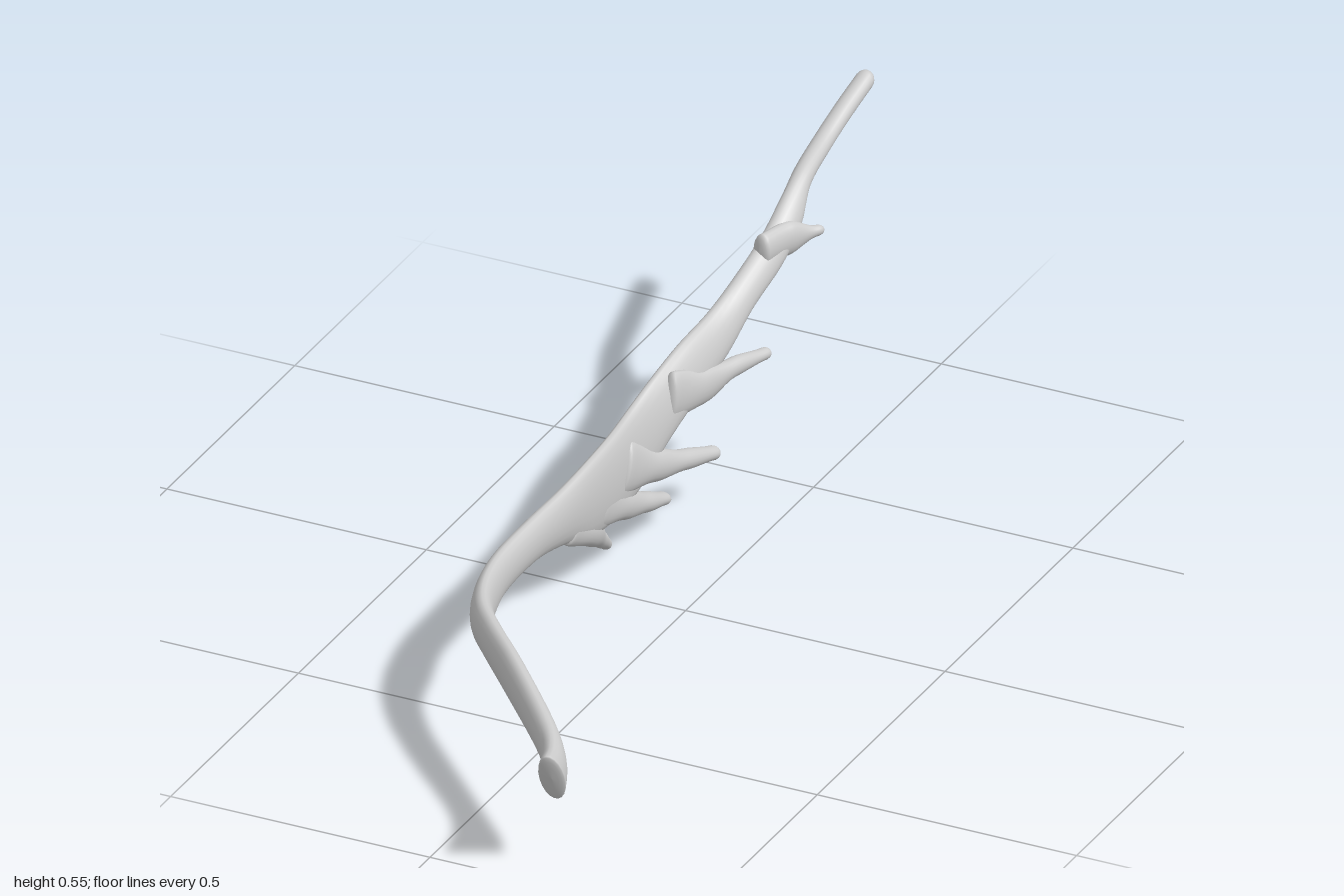
import * as THREE from 'three';

const { lerp, smoothstep } = THREE.MathUtils;
const material = new THREE.MeshStandardMaterial({ color: 0xcccccc });
const RING = 20;

// Skin a row of oval sections { c: centre, up, side }, closing both ends with domes
function loft(name, sections, domeStart, domeEnd) {
  const last = sections.length - 1;
  const dome = (i, j, depth) => {
    const s = sections[i];
    const out = s.c.clone().sub(sections[j].c).normalize();
    return [0.35, 0.65, 0.88, 1].map((k) => {
      const scale = Math.sqrt(1 - k * k);
      return {
        c: s.c.clone().addScaledVector(out, depth * k),
        up: s.up.clone().multiplyScalar(scale),
        side: s.side.clone().multiplyScalar(scale),
      };
    });
  };
  const all = [...dome(0, 1, domeStart).reverse(), ...sections, ...dome(last, last - 1, domeEnd)];
  const position = [];
  const index = [];
  all.forEach((s, i) => {
    for (let j = 0; j < RING; j++) {
      const a = (j / RING) * Math.PI * 2;
      const p = s.c.clone().addScaledVector(s.up, Math.cos(a)).addScaledVector(s.side, Math.sin(a));
      position.push(p.x, p.y, p.z);
      if (i === all.length - 1) continue;
      const k = (j + 1) % RING;
      const [p0, p1, p2, p3] = [i * RING + j, i * RING + k, (i + 1) * RING + k, (i + 1) * RING + j];
      index.push(p0, p1, p3, p1, p2, p3);
    }
  });
  const geometry = new THREE.BufferGeometry();
  geometry.setAttribute('position', new THREE.Float32BufferAttribute(position, 3));
  geometry.setIndex(index);
  geometry.computeVertexNormals();
  const mesh = new THREE.Mesh(geometry, material);
  mesh.name = name;
  return mesh;
}

// Beam and palm: z, x of the middle, top y, bottom y
const beamRows = [
  [0.965, 0.218, 0.251, 0.145],
  [0.92, 0.2, 0.241, 0.155],
  [0.86, 0.16, 0.238, 0.165],
  [0.70, 0.015, 0.26, 0.174],
  [0.60, -0.075, 0.257, 0.177],
  [0.52, -0.135, 0.247, 0.164],
  [0.44, -0.172, 0.24, 0.145],
  [0.34, -0.194, 0.237, 0.152],
  [0.20, -0.195, 0.241, 0.155],
  [0.10, -0.19, 0.247, 0.138],
  [0.00, -0.184, 0.261, 0.106],
  [-0.08, -0.178, 0.274, 0.108],
  [-0.15, -0.173, 0.288, 0.134],
  [-0.23, -0.164, 0.309, 0.19],
  [-0.32, -0.154, 0.334, 0.235],
  [-0.42, -0.145, 0.352, 0.275],
  [-0.50, -0.137, 0.38, 0.325],
  [-0.60, -0.129, 0.422, 0.366],
  [-0.67, -0.128, 0.462, 0.406],
  [-0.73, -0.137, 0.487, 0.448],
  [-0.83, -0.145, 0.508, 0.472],
  [-0.91, -0.143, 0.534, 0.499],
  [-0.98, -0.139, 0.556, 0.522],
];

function makeBeam() {
  // The palm leans sideways, and the root end is cut on a slant
  const edge = (column, sign) => new THREE.CatmullRomCurve3(beamRows.map((r) => {
    const z = r[0];
    const lean = 0.016 * smoothstep(-z, 0, 0.3) * (1 - smoothstep(-z, 0.64, 0.78));
    const slant = 0.024 * smoothstep(z, 0.84, 0.965);
    return new THREE.Vector3(r[1] - sign * lean, r[column], z + sign * slant);
  }));
  const top = edge(2, 1);
  const bottom = edge(3, -1);
  const count = 110;
  const sections = [];
  for (let i = 0; i <= count; i++) {
    const u = i / count;
    const a = top.getPoint(u);
    const b = bottom.getPoint(u);
    const up = a.clone().sub(b).multiplyScalar(0.5);
    const tangent = top.getTangent(u).add(bottom.getTangent(u));
    tangent.y = 0;
    const side = tangent.cross(up).normalize().multiplyScalar(lerp(0.022, 0.018, u));
    sections.push({ c: a.add(b).multiplyScalar(0.5), up, side });
  }
  return loft('beam', sections, 0.006, 0.018);
}

// Tine: centre path, then in-plane and sideways half widths running from base to tip
function makeTine(name, points, heights, widths) {
  const curve = new THREE.CatmullRomCurve3(points.map((p) => new THREE.Vector3(...p)));
  const sample = (list, u) => {
    const f = u * (list.length - 1);
    const i = Math.min(Math.floor(f), list.length - 2);
    return lerp(list[i], list[i + 1], smoothstep(f - i, 0, 1));
  };
  const sections = [];
  for (let i = 0; i <= 24; i++) {
    const u = i / 24;
    const t = curve.getTangent(u);
    const up = new THREE.Vector3(1, 0, 0).cross(t).normalize();
    const side = t.clone().cross(up).normalize().multiplyScalar(sample(widths, u));
    sections.push({ c: curve.getPoint(u), up: up.multiplyScalar(sample(heights, u)), side });
  }
  return loft(name, sections, 0.01, 0.014);
}

export function createModel() {
  const group = new THREE.Group();
  group.name = 'antler';
  group.add(makeBeam());

  // Tines fan out below the palm, from the lowest to the highest
  group.add(makeTine('lowestTine',
    [[-0.188, 0.155, 0.07], [-0.19, 0.108, -0.015], [-0.207, 0.06, -0.08], [-0.223, 0.018, -0.138]],
    [0.03, 0.026, 0.016, 0.011], [0.016, 0.018, 0.015, 0.012]));
  group.add(makeTine('lowerTine',
    [[-0.18, 0.16, -0.03], [-0.175, 0.12, -0.11], [-0.176, 0.085, -0.19], [-0.18, 0.052, -0.272]],
    [0.045, 0.028, 0.019, 0.012], [0.017, 0.02, 0.02, 0.017]));
  group.add(makeTine('middleTine',
    [[-0.168, 0.2, -0.1], [-0.156, 0.162, -0.19], [-0.143, 0.133, -0.28], [-0.129, 0.108, -0.366]],
    [0.05, 0.03, 0.019, 0.013], [0.017, 0.02, 0.019, 0.015]));
  group.add(makeTine('upperTine',
    [[-0.152, 0.27, -0.25], [-0.137, 0.25, -0.34], [-0.118, 0.252, -0.42], [-0.096, 0.245, -0.502]],
    [0.045, 0.034, 0.018, 0.011], [0.016, 0.019, 0.016, 0.012]));

  // Short spur where the palm narrows into the long end tine
  group.add(makeTine('spur',
    [[-0.133, 0.405, -0.57], [-0.118, 0.402, -0.635], [-0.087, 0.398, -0.69]],
    [0.032, 0.032, 0.01], [0.018, 0.019, 0.01]));
  return group;
}
